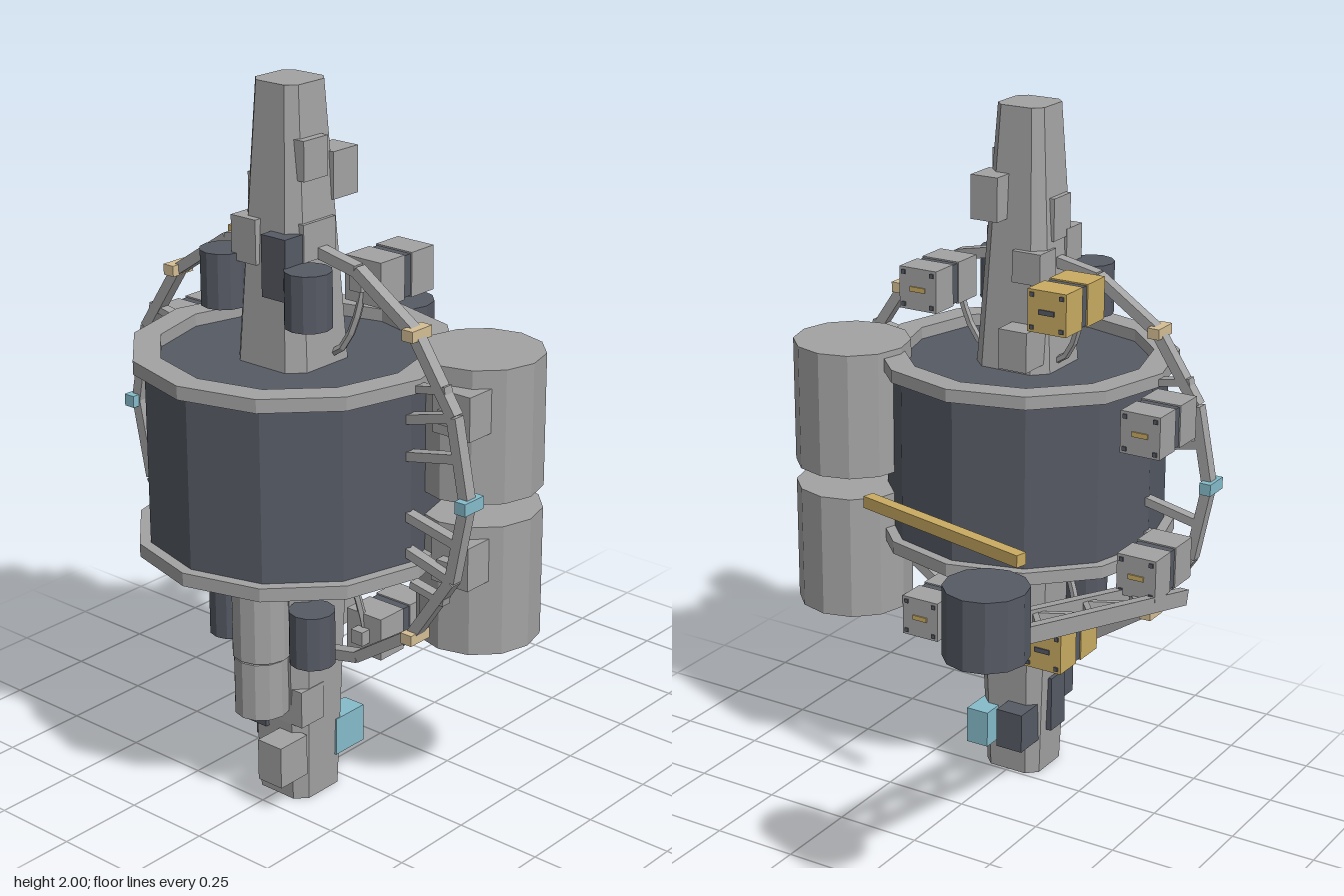
import * as THREE from 'three';

const mat = (name, hex) => {
  const m = new THREE.MeshStandardMaterial({ color: hex });
  m.name = name;
  return m;
};
const grey = mat('hull grey', 0xa3a3a3);
const dark = mat('dark slate', 0x565a64);
const gold = mat('gold foil', 0xc9ab62);
const cream = mat('cream', 0xd5bf95);
const cyan = mat('pale cyan', 0x86bccb);

const CZ = 0.35; // depth of the main axis
const V = (x, y, z) => new THREE.Vector3(x, y, z);

export function createModel() {
  const root = new THREE.Group();
  root.name = 'spaceStation';

  const add = (name, geo, m, x = 0, y = 0, z = 0, parent = root) => {
    const mesh = new THREE.Mesh(geo, m);
    mesh.name = name;
    mesh.position.set(x, y, z);
    parent.add(mesh);
    return mesh;
  };
  const flat = (geo) => {
    const g = geo.index ? geo.toNonIndexed() : geo;
    g.computeVertexNormals();
    return g;
  };
  // box from its minimum and maximum corners
  const block = (name, m, x0, x1, y0, y1, z0, z1, parent = root) =>
    add(name, new THREE.BoxGeometry(x1 - x0, y1 - y0, z1 - z0), m,
      (x0 + x1) / 2, (y0 + y1) / 2, (z0 + z1) / 2, parent);
  // faceted upright cylinder
  const can = (name, m, r, y0, y1, x, z) =>
    add(name, flat(new THREE.CylinderGeometry(r, r, y1 - y0, 12)), m, x, (y0 + y1) / 2, z);
  // straight bar between two points
  const bar = (name, m, a, b, w, h, parent = root) => {
    const mid = a.clone().add(b).multiplyScalar(0.5);
    const mesh = add(name, new THREE.BoxGeometry(w, h, a.distanceTo(b)), m, mid.x, mid.y, mid.z, parent);
    mesh.lookAt(b);
    return mesh;
  };

  // tapered spine with chamfered corners
  const spine = (name, y0, y1, h0, h1) => {
    const c = 0.66;
    const pts = [[1, c], [c, 1], [-c, 1], [-1, c], [-1, -c], [-c, -1], [c, -1], [1, -c]];
    const shape = new THREE.Shape(pts.map(([x, y]) => new THREE.Vector2(x, y)));
    const geo = new THREE.ExtrudeGeometry(shape, { depth: 1, bevelEnabled: false });
    geo.rotateX(-Math.PI / 2);
    const p = geo.attributes.position;
    for (let i = 0; i < p.count; i++) {
      const t = p.getY(i), h = h0 + (h1 - h0) * t;
      p.setXYZ(i, p.getX(i) * h, y0 + (y1 - y0) * t, p.getZ(i) * h);
    }
    add(name, flat(geo), grey, 0, 0, CZ);
  };
  spine('upperSpine', 1.25, 2, 0.12, 0.073);
  spine('lowerSpine', 0, 0.8, 0.09, 0.118);

  // central drum with a raised rim at each end
  can('drum', dark, 0.4, 0.785, 1.262, 0, CZ);
  const ringPoints = (r) => Array.from({ length: 12 }, (_, i) =>
    new THREE.Vector2(r * Math.cos(i * Math.PI / 6), r * Math.sin(i * Math.PI / 6)));
  const rimShape = new THREE.Shape(ringPoints(0.43));
  rimShape.holes.push(new THREE.Path(ringPoints(0.357)));
  for (const [name, y] of [['lowerRim', 0.75], ['upperRim', 1.26]]) {
    const geo = new THREE.ExtrudeGeometry(rimShape, { depth: 0.037, bevelEnabled: false });
    add(name, flat(geo.rotateX(-Math.PI / 2)), grey, 0, y, CZ);
  }

  // upright hoop of sixteen bars
  const hoopPoint = (i, r = 0.585) =>
    V(r * Math.cos(i * Math.PI / 8), 1 + r * Math.sin(i * Math.PI / 8), CZ);
  const hoop = new THREE.Group();
  hoop.name = 'hoop';
  root.add(hoop);
  for (let i = 0; i < 16; i++) bar('hoopBar', grey, hoopPoint(i), hoopPoint(i + 1), 0.034, 0.03, hoop);

  // clamps on the hoop
  for (const s of [-1, 1]) {
    block('sideClamp', cyan, s * 0.59 - 0.017, s * 0.59 + 0.017, 0.983, 1.017, 0.312, 0.388, hoop);
    for (const t of [-1, 1]) {
      const x = s * 0.417, y = 1 + t * 0.417;
      block('diagonalClamp', cream, x - 0.018, x + 0.018, y - 0.015, y + 0.015, 0.312, 0.388, hoop);
    }
  }

  // eight equipment modules behind the hoop
  for (let k = 0; k < 8; k++) {
    const p = hoopPoint(2 * k + 1, 0.538);
    const m = k === 3 - 1 || k === 5 ? gold : grey;
    const accent = m === gold ? dark : gold;
    const g = new THREE.Group();
    g.name = 'equipmentModule';
    g.position.set(p.x, p.y, 0);
    root.add(g);
    block('rearBox', m, -0.06, 0.06, -0.06, 0.06, 0.1, 0.188, g);
    block('band', dark, -0.056, 0.056, -0.056, 0.056, 0.188, 0.216, g);
    block('frontBox', m, -0.06, 0.06, -0.06, 0.06, 0.216, 0.31, g);
    block('mount', grey, -0.02, 0.02, -0.02, 0.02, 0.31, 0.34, g);
    block('rearSlot', accent, -0.024, 0.024, -0.007, 0.007, 0.096, 0.1, g);
    for (const x of [-0.046, 0.046]) for (const y of [-0.046, 0.046])
      block('cornerBolt', dark, x - 0.006, x + 0.006, y - 0.006, y + 0.006, 0.096, 0.1, g);
  }

  // spokes and braces tying hoop, drum and spine together
  for (const s of [-1, 1]) for (const t of [-1, 1]) {
    bar('spoke', grey, V(s * 0.38, 1 + t * 0.08, CZ), V(s * 0.57, 1 + t * 0.12, CZ), 0.03, 0.025);
    bar('spoke', grey, V(s * 0.38, 1 + t * 0.18, CZ), V(s * 0.53, 1 + t * 0.22, CZ), 0.03, 0.025);
    bar('rimBrace', grey, V(s * 0.41, 1 + t * 0.27, CZ), V(s * 0.52, 1 + t * 0.29, CZ), 0.03, 0.02);
    const curve = new THREE.QuadraticBezierCurve3(V(s * 0.1, 1 + t * 0.28, CZ - 0.03),
      V(s * 0.18, 1 + t * 0.3, CZ - 0.03), V(s * 0.205, 1 + t * 0.5, CZ - 0.05));
    add('curvedBrace', flat(new THREE.TubeGeometry(curve, 5, 0.011, 5)), grey);
  }

  // dark canisters beside the spine
  for (const s of [-1, 1]) {
    can('upperCanister', dark, 0.063, 1.4, 1.55, s * 0.147, 0.452);
    can('lowerCanister', dark, 0.063, 0.458, 0.61, s * 0.147, 0.452);
  }

  // pair of side tanks
  can('lowerTank', grey, 0.168, 0.523, 0.887, 0.438, 0.112);
  can('upperTank', grey, 0.168, 0.95, 1.315, 0.438, 0.112);

  // stacked cylinders on the lower front of the spine
  can('stackTop', grey, 0.07, 0.655, 0.755, -0.005, 0.495);
  can('stackMiddle', grey, 0.082, 0.45, 0.655, -0.005, 0.485);
  can('stackBottom', grey, 0.075, 0.28, 0.445, -0.005, 0.49);

  // boxes fixed to the spine: x, y and z ranges
  const boxes = [
    [grey, 0.03, 0.104, 1.76, 1.865, 0.325, 0.415],
    [grey, 0.015, 0.1, 1.69, 1.815, 0.205, 0.3],
    [grey, -0.104, -0.03, 1.63, 1.75, 0.31, 0.4],
    [grey, -0.105, -0.02, 1.53, 1.65, 0.38, 0.465],
    [grey, 0.02, 0.105, 1.55, 1.65, 0.3, 0.42],
    [dark, 0.018, 0.1, 1.46, 1.625, 0.4, 0.485],
    [grey, -0.105, -0.015, 1.29, 1.405, 0.165, 0.27],
    [grey, -0.105, -0.015, 1.52, 1.61, 0.235, 0.32],
    [grey, 0.02, 0.104, 0.238, 0.345, 0.36, 0.45],
    [grey, 0.02, 0.104, 0.09, 0.21, 0.43, 0.535],
    [dark, -0.105, -0.02, 0.205, 0.335, 0.37, 0.46],
    [dark, -0.112, -0.07, 0.13, 0.3, 0.32, 0.4],
    [dark, -0.09, -0.005, 0.11, 0.23, 0.185, 0.29],
    [cyan, 0.03, 0.1, 0.095, 0.205, 0.19, 0.305],
    [grey, -0.03, 0.06, 0.455, 0.58, 0.17, 0.27],
    [dark, -0.05, 0.05, 0.65, 0.75, 0.2, 0.27],
  ];
  for (const [m, ...r] of boxes) block('spineBox', m, ...r);

  // lattice boom with a pod at its end
  const boom = new THREE.Group();
  boom.name = 'boom';
  root.add(boom);
  const onBoom = (x, t) => V(x, 0.675 + 0.235 * t, 0.3 - 0.92 * t);
  for (const x of [-0.543, -0.444]) bar('boomRail', grey, onBoom(x, 0), onBoom(x, 1), 0.027, 0.045, boom);
  const steps = 7;
  for (let i = 0; i < steps; i++) {
    const s = i % 2 ? 1 : -1;
    bar('boomLattice', grey, onBoom(-0.493 + s * 0.045, i / steps),
      onBoom(-0.493 - s * 0.045, (i + 1) / steps), 0.016, 0.025, boom);
  }
  can('boomPod', dark, 0.109, 0.868, 1.055, -0.493, -0.67);

  // gold slat across the back
  const slat = add('goldSlat', new THREE.BoxGeometry(0.6, 0.035, 0.035), gold, -0.028, 0.918, -0.142);
  slat.rotation.y = -0.235;

  return root;
}
